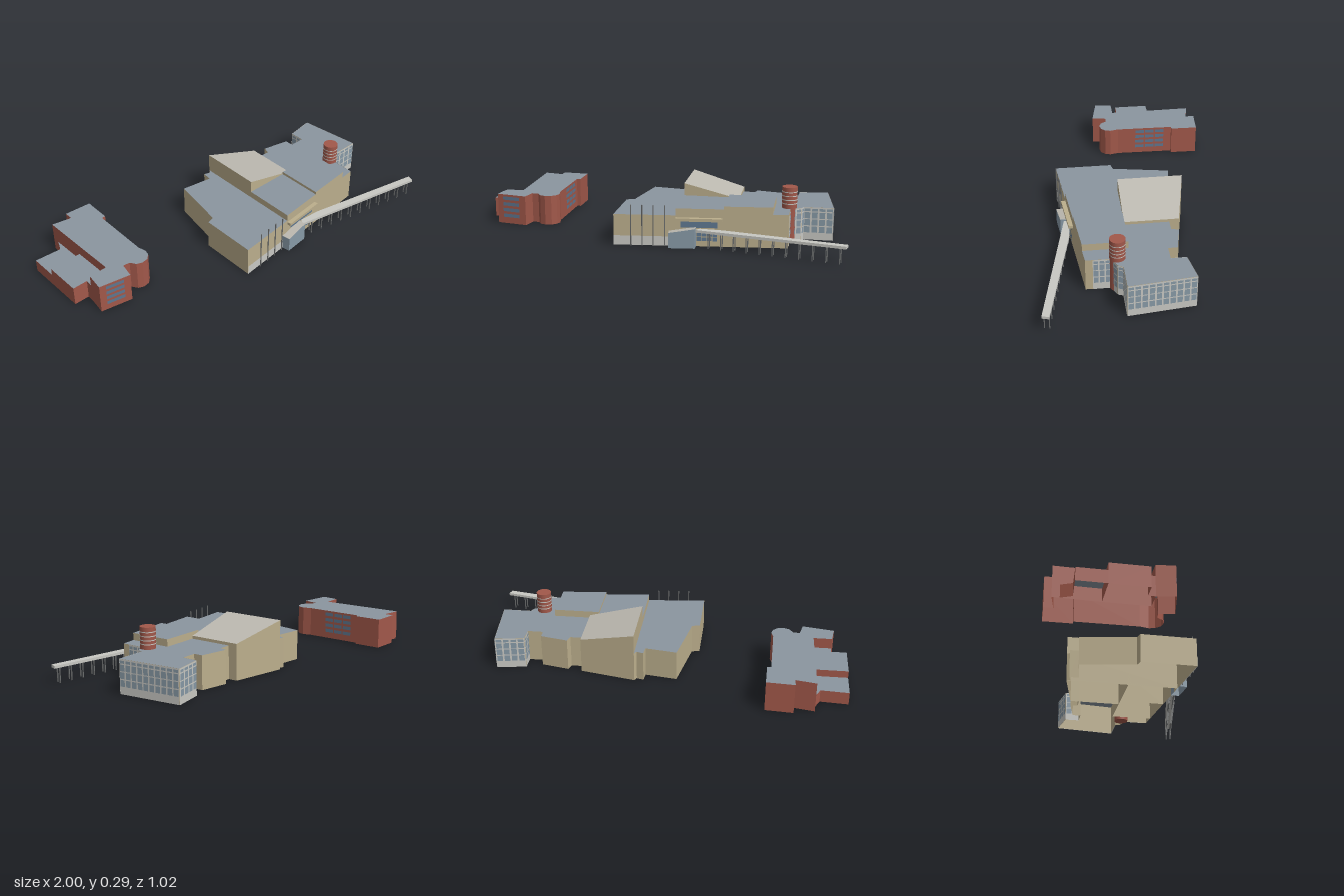
import * as THREE from 'three';
import { mergeGeometries } from 'three/addons/utils/BufferGeometryUtils.js';

const material = (name, color) => {
  const m = new THREE.MeshStandardMaterial({ color, side: THREE.DoubleSide });
  m.name = name;
  return m;
};

export function createModel() {
  const root = new THREE.Group();
  const tan = material('tan wall', 0xbbae8c);
  const brick = material('red brick', 0xa1584a);
  const slate = material('slate roof', 0x8b959f);
  const pale = material('pale grey', 0xc8c8c3);
  const stone = material('sloped roof grey', 0xbdbab1);
  const blue = material('blue window', 0x5f7790);
  const glass = material('grey glass', 0x8799a6);
  const dark = material('dark post', 0x6a6c6c);

  const add = (name, geometry, mat, parent = root) => {
    const mesh = new THREE.Mesh(geometry, mat);
    mesh.name = name;
    parent.add(mesh);
    return mesh;
  };
  const triangles = (points) => {
    const g = new THREE.BufferGeometry();
    g.setAttribute('position', new THREE.Float32BufferAttribute(points.flat(), 3));
    g.computeVertexNormals();
    return g;
  };
  const quad = (a, b, c, d) => [a, b, c, a, c, d];

  // Open-bottomed block from an [x, z] plan; height is a number or a function of x, z
  function block(name, plan, height, wallMat, roofMat) {
    const h = typeof height === 'function' ? height : () => height;
    const flat = plan.map(([x, z]) => new THREE.Vector2(x, -z));
    if (THREE.ShapeUtils.isClockWise(flat)) flat.reverse();
    const low = flat.map((p) => [p.x, 0, -p.y]);
    const top = flat.map((p) => [p.x, h(p.x, -p.y), -p.y]);
    const walls = flat.flatMap((_, i) => {
      const j = (i + 1) % flat.length;
      return quad(low[i], low[j], top[j], top[i]);
    });
    const roof = THREE.ShapeUtils.triangulateShape(flat, []).flat().map((i) => top[i]);
    const group = new THREE.Group();
    group.name = name;
    add(name + ' walls', triangles(walls), wallMat, group);
    add(name + ' roof', triangles(roof), roofMat, group);
    root.add(group);
  }

  // Thin panel on the wall from a to b, outside on the right-hand side
  function panel(a, b, y0, y1, off, t0 = 0, t1 = 1) {
    const dx = b[0] - a[0], dz = b[1] - a[1], len = Math.hypot(dx, dz);
    const at = (t, y) => [a[0] + dx * t - (dz / len) * off, y, a[1] + dz * t + (dx / len) * off];
    return triangles(quad(at(t0, y0), at(t1, y0), at(t1, y1), at(t0, y1)));
  }

  // Curtain wall: pale sheet with a grid of panes
  const paneRows = [[0.04, 0.073], [0.079, 0.112], [0.117, 0.15], [0.156, 0.17]];
  function curtainWall(name, a, b) {
    add(name + ' frame', panel(a, b, 0, 0.177, 0.002), pale);
    const len = Math.hypot(b[0] - a[0], b[1] - a[1]);
    const n = Math.max(1, Math.round(len / 0.035));
    const panes = [];
    for (const [y0, y1] of paneRows)
      for (let i = 0; i < n; i++) panes.push(panel(a, b, y0, y1, 0.004, (i + 0.12) / n, (i + 0.88) / n));
    add(name + ' panes', mergeGeometries(panes), glass);
  }

  const front = (x) => 0.35 - 0.104 * x; // line of the slanting main front
  const f = (x) => [x, front(x)];

  // Main building
  block('west hall', [f(-0.197), [-0.197, 0.06], [-0.155, 0.05], [-0.1, -0.256], [0.07, -0.23],
    [0.075, -0.283], [0.112, -0.272], [0.123, -0.293], f(0.123)], 0.163, tan, slate);
  block('wedge hall', [[0.123, -0.293], [0.42, -0.23], [0.42, 0.055], [0.123, 0.055]],
    (x) => 0.267 - (x - 0.123) * 0.25, tan, stone);
  block('lobby', [f(0.123), [0.123, 0.055], [0.37, 0.055], f(0.37)], 0.2, tan, slate);
  block('front hall', [f(0.37), [0.37, 0.055], [0.62, 0.055], f(0.62)], 0.215, tan, slate);
  block('east wing', [[0.42, 0.055], [0.42, -0.18], [0.485, -0.18], [0.496, -0.219], [0.645, -0.187],
    [0.645, -0.139], [0.73, -0.139], [0.73, -0.219], [0.885, -0.245], [0.923, 0.096], [0.768, 0.096],
    [0.757, 0.123], [0.7, 0.15], f(0.7), f(0.62), [0.62, 0.055]], 0.177, tan, slate);

  // Glazed faces of the east wing, each running with the outside on its right
  const glazed = [[0.7, 0.24], [0.7, 0.15], [0.757, 0.123], [0.768, 0.096], [0.923, 0.096],
    [0.885, -0.245], [0.73, -0.219], [0.73, -0.139]];
  for (let i = 0; i + 1 < glazed.length; i++) curtainWall('curtain wall ' + (i + 1), glazed[i], glazed[i + 1]);

  // Pale base strip and windows on the main front
  add('base strip', panel(f(-0.197), f(0.09), 0, 0.05, 0.003), pale);
  add('upper lobby window', panel(f(0.15), f(0.34), 0.1, 0.136, 0.004), blue);
  const lobbyPanes = [];
  for (let row = 0; row < 2; row++)
    for (let i = 0; i < 4; i++)
      lobbyPanes.push(panel(f(0.23), f(0.34), 0.03 + row * 0.024, 0.05 + row * 0.024, 0.004, (i + 0.06) / 4, (i + 0.94) / 4));
  add('lower lobby windows', mergeGeometries(lobbyPanes), blue);

  // Ledge over the lobby windows
  const ledge = add('window ledge', new THREE.BoxGeometry(0.24, 0.016, 0.03), tan);
  ledge.position.set(0.245, 0.145, front(0.245) + 0.008);
  ledge.rotation.y = Math.atan(0.104);

  // Entrance porch with a tilted roof
  block('entrance porch', [[0.088, 0.341], [0.095, 0.387], [0.23, 0.372], [0.23, 0.326]],
    (x) => 0.08 + (x - 0.088) * 0.17, glass, stone);

  // Free-standing tall poles along the front
  for (const x of [-0.105, -0.047, 0.011, 0.069]) {
    const pole = add('tall pole', new THREE.CylinderGeometry(0.003, 0.003, 0.218, 8), dark);
    pole.position.set(x, 0.109, front(x) + 0.012);
  }

  // Covered walkway
  const walk = [[0.225, 0.352], [0.99, 0.503], [1.0, 0.468], [0.37, 0.334], [0.25, 0.325]];
  const shape = new THREE.Shape(walk.map(([x, z]) => new THREE.Vector2(x, -z)));
  const canopy = add('walkway canopy',
    new THREE.ExtrudeGeometry(shape, { depth: 0.014, bevelEnabled: false }).rotateX(-Math.PI / 2), pale);
  canopy.position.y = 0.081;
  for (let i = 0; i < 11; i++) {
    const x = 0.3 + i * 0.0665;
    for (const side of [-1, 1]) {
      const post = add('walkway post', new THREE.BoxGeometry(0.005, 0.082, 0.005), dark);
      post.position.set(x - side * 0.003, 0.041, 0.349 + (x - 0.3) * 0.196 + side * 0.012);
    }
  }

  // Round brick tower with pale rings
  const tower = new THREE.Group();
  tower.name = 'round tower';
  tower.position.set(0.693, 0, 0.118);
  root.add(tower);
  add('tower shaft', new THREE.CylinderGeometry(0.04, 0.04, 0.29, 24), brick, tower).position.y = 0.145;
  for (const y of [0.203, 0.223, 0.244, 0.265])
    add('tower ring', new THREE.CylinderGeometry(0.0408, 0.0408, 0.005, 24, 1, true), pale, tower).position.y = y;

  // Brick building
  block('brick main block', [[-0.827, -0.485], [-0.72, -0.464], [-0.72, -0.512], [-0.573, -0.502],
    [-0.576, -0.352], [-0.597, -0.352], [-0.603, -0.027], [-0.592, 0.02], [-0.6, 0.05], [-0.625, 0.074],
    [-0.66, 0.08], [-0.69, 0.068], [-0.71, 0.037], [-0.747, 0.032], [-0.763, 0.112], [-0.933, 0.08],
    [-0.919, -0.016], [-0.82, -0.016]], 0.165, brick, slate);
  block('brick side wing', [[-1, -0.25], [-0.82, -0.25], [-0.82, -0.016], [-0.919, -0.016],
    [-0.917, -0.053], [-1, -0.053]], 0.107, brick, slate);
  block('brick low wing', [[-1, -0.4], [-0.853, -0.39], [-0.825, -0.45], [-0.82, -0.25], [-1, -0.25]],
    0.068, brick, slate);

  // Window bands of the brick building
  const bands = [];
  for (let i = 0; i < 4; i++) {
    const y = 0.036 + i * 0.033;
    bands.push(panel([-0.933, 0.08], [-0.763, 0.112], y, y + 0.019, 0.003, 0.2, 0.78));
    for (let k = 0; k < 3; k++)
      bands.push(panel([-0.601, -0.13], [-0.598, -0.31], y, y + 0.019, 0.003, k / 3 + 0.02, k / 3 + 0.31));
  }
  add('brick building windows', mergeGeometries(bands), blue);

  return root;
}
